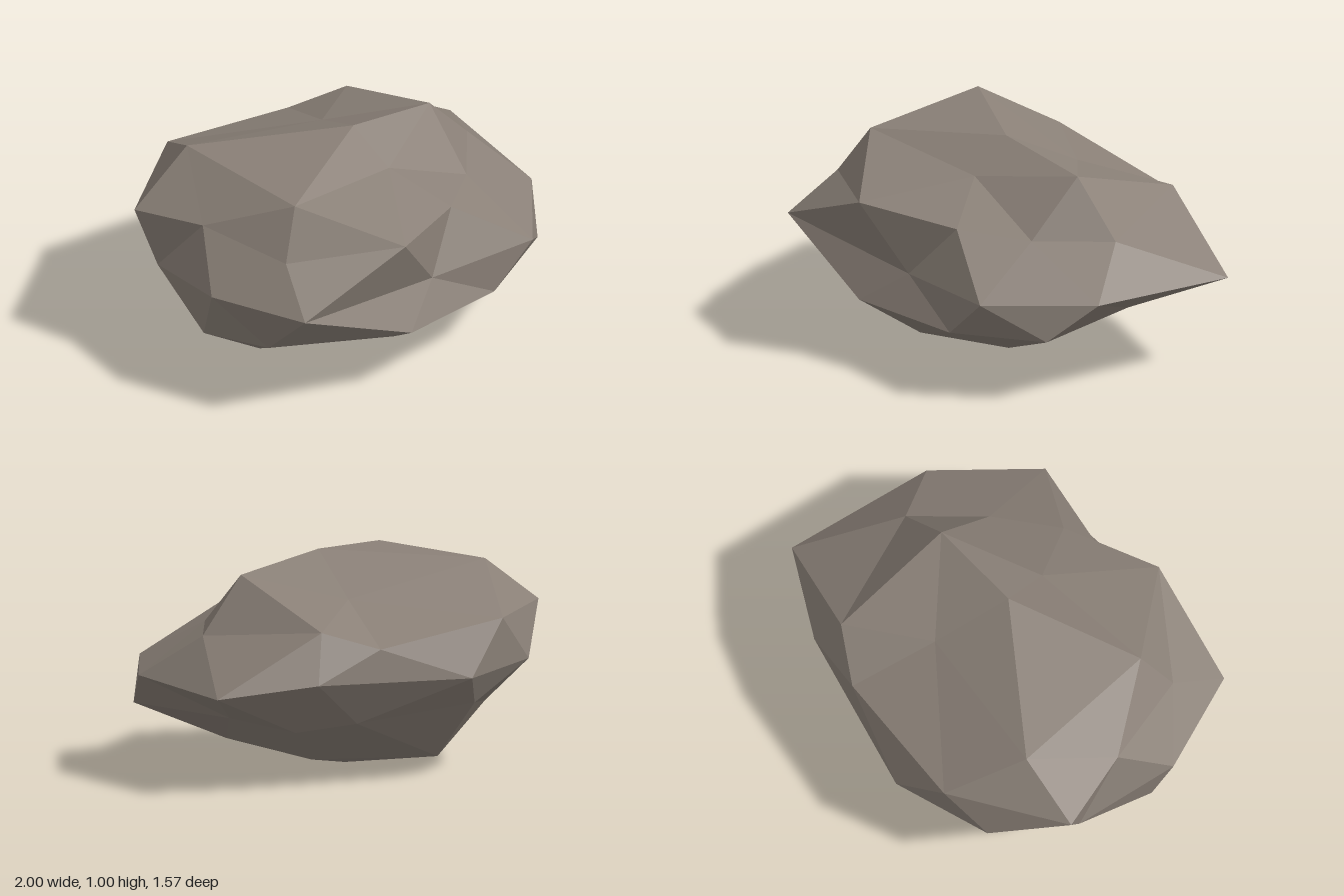
import * as THREE from 'three';

// Boulder cross-sections, top to bottom; each ring runs from +x round towards +z
const top = [0, 1.005, 0.08];
const crown = [
  [0.47, 0.93, 0.08], [0.02, 0.87, 0.305], [-0.61, 0.95, 0.36], [-0.635, 0.95, -0.365], [0.115, 0.82, -0.27],
];
const shoulder = [
  [0.71, 0.67, 0.07], [0.45, 0.68, 0.36], [0.17, 0.72, 0.57], [-0.28, 0.78, 0.76], [-0.74, 0.73, 0.445],
  [-0.86, 0.78, 0], [-0.955, 0.73, -0.37], [-0.45, 0.73, -0.71], [0.25, 0.645, -0.66], [0.49, 0.73, -0.52],
];
const waist = [
  [0.87, 0.47, 0.34], [0.51, 0.485, 0.755], [-0.04, 0.47, 0.675], [-0.83, 0.555, 0.68], [-1, 0.55, 0.22],
  [-0.9, 0.455, -0.27], [-0.67, 0.51, -0.635], [-0.2, 0.48, -0.785], [0.58, 0.5, -0.605], [1, 0.45, -0.375],
];
const flank = [
  [0.66, 0.295, -0.06], [0.73, 0.305, 0.54], [0.29, 0.285, 0.735], [-0.26, 0.31, 0.78], [-0.79, 0.26, 0.38],
  [-0.96, 0.29, 0.12], [-0.7, 0.27, -0.29], [-0.32, 0.34, -0.66], [0.3, 0.29, -0.55], [0.51, 0.245, -0.355],
];
const foot = [
  [0.31, 0.115, 0.37], [-0.13, 0.108, 0.51], [-0.62, 0.065, 0.125], [-0.29, 0.065, -0.43], [0.22, 0.065, -0.13],
];
const base = [-0.12, 0, 0.03];

function boulderGeometry() {
  const positions = [];
  const face = (a, b, c) => positions.push(...a, ...b, ...c);
  const at = (ring, i) => ring[i % ring.length];

  // Five-sided caps, each ring of five fanning out to a ring of ten
  for (let k = 0; k < 5; k++) {
    const a = crown[k], b = at(crown, k + 1), s = at(shoulder, 2 * k + 1);
    face(top, b, a);
    face(a, s, shoulder[2 * k]);
    face(a, b, s);
    face(b, at(shoulder, 2 * k + 2), s);

    const c = foot[k], d = at(foot, k + 1), f = at(flank, 2 * k + 2);
    face(base, c, d);
    face(c, flank[2 * k], flank[2 * k + 1]);
    face(c, flank[2 * k + 1], f);
    face(c, f, d);
    face(d, f, at(flank, 2 * k + 3));
  }
  // The fan above already covers one side of each foot corner, so drop the repeated faces
  const unique = new Map();
  for (let i = 0; i < positions.length; i += 9) {
    const tri = positions.slice(i, i + 9);
    const key = [0, 3, 6].map((j) => tri.slice(j, j + 3).join()).sort().join('|');
    unique.set(key, tri);
  }
  const sides = [];
  const side = (a, b, c) => sides.push(...a, ...b, ...c);

  // Zigzag bands above and below the waist
  for (let j = 0; j < 10; j++) {
    const e = waist[j], eNext = at(waist, j + 1);
    const u = shoulder[j], uNext = at(shoulder, j + 1);
    const l = flank[j], lNext = at(flank, j + 1);
    side(u, uNext, e);
    side(uNext, eNext, e);
    side(e, lNext, l);
    side(e, eNext, lNext);
  }

  const geometry = new THREE.BufferGeometry();
  const all = [...unique.values()].flat().concat(sides);
  geometry.setAttribute('position', new THREE.Float32BufferAttribute(all, 3));
  geometry.computeVertexNormals(); // unshared corners give flat facets
  return geometry;
}

export function createModel() {
  const stone = new THREE.MeshStandardMaterial({ color: 0x8a8077 });
  stone.name = 'stone';

  const boulder = new THREE.Mesh(boulderGeometry(), stone);
  boulder.name = 'boulder';

  const group = new THREE.Group();
  group.name = 'rock';
  group.add(boulder);
  return group;
}
